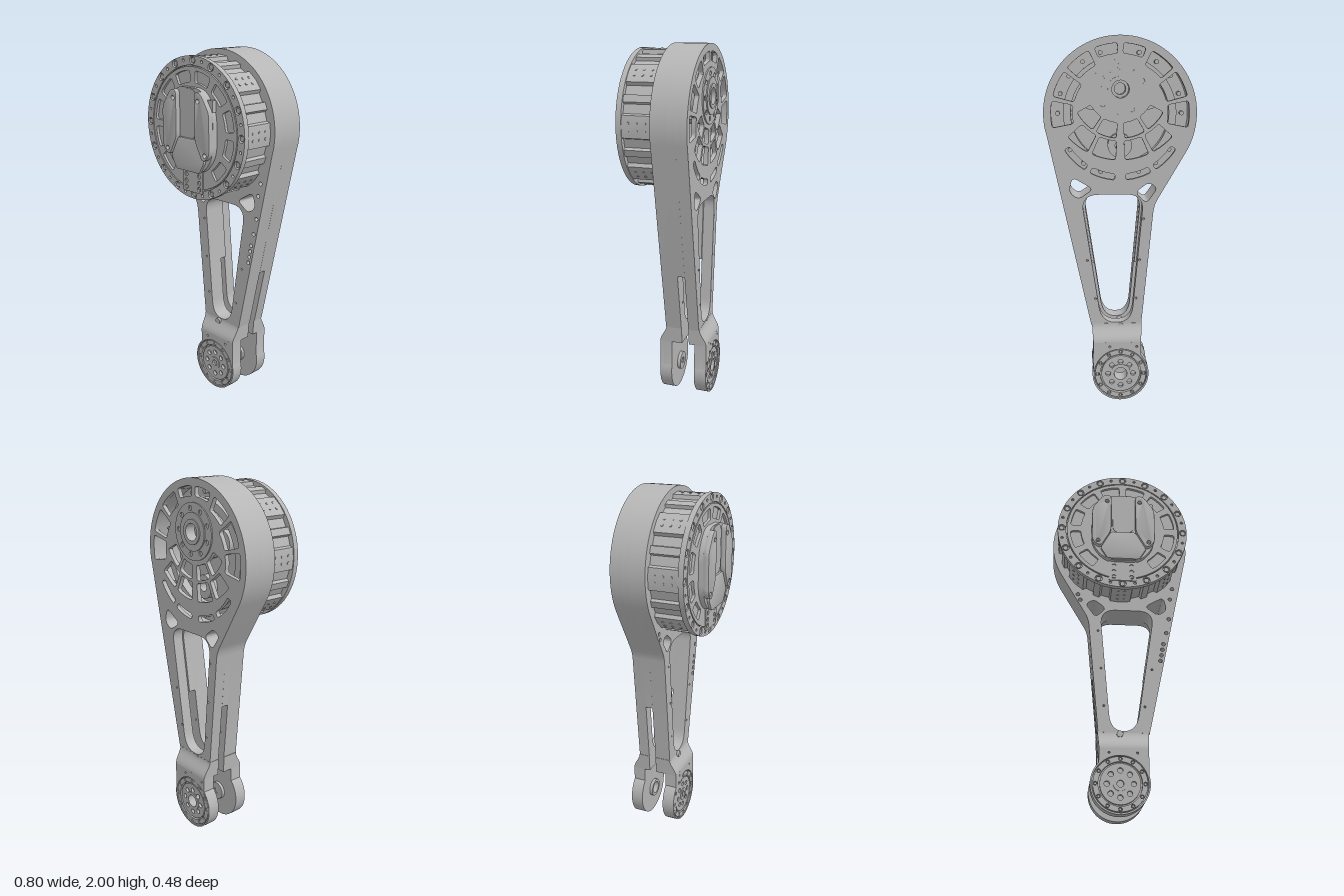
import * as THREE from 'three';
import { mergeGeometries, toCreasedNormals } from 'three/addons/utils/BufferGeometryUtils.js';

const steel = new THREE.MeshStandardMaterial({ color: 0xb6b6b6 });
steel.name = 'machined grey';
const rad = (d) => d * Math.PI / 180;
const HEAD_Y = 1.6, HUB_Y = 1.73, FOOT_Y = 0.158;

// ---- shape helpers ----
function circle(x, y, r) {
  return new THREE.Shape().absarc(x, y, r, 0, Math.PI * 2, false);
}
function ring(x, y, r, inner) {
  const s = circle(x, y, r);
  s.holes.push(circle(x, y, inner));
  return s;
}
// polygon with rounded corners
function rounded(pts, d) {
  const s = new THREE.Shape();
  const v = pts.map((p) => new THREE.Vector2(...p));
  v.forEach((p, i) => {
    const step = (q) => {
      const l = p.distanceTo(q);
      return p.clone().lerp(q, Math.min(d, l * 0.48) / l);
    };
    const a = step(v[(i + v.length - 1) % v.length]), b = step(v[(i + 1) % v.length]);
    if (i) s.lineTo(a.x, a.y); else s.moveTo(a.x, a.y);
    s.quadraticCurveTo(p.x, p.y, b.x, b.y);
  });
  s.closePath();
  return s;
}
// slice of a ring with rounded corners
function sector(y, r0, r1, a0, a1) {
  const at = (r, t) => {
    const a = rad(a0 + (a1 - a0) * t);
    return [r * Math.cos(a), y + r * Math.sin(a)];
  };
  const steps = [0, 0.33, 0.67, 1];
  return rounded([...steps.map((t) => at(r1, t)), ...steps.map((t) => at(r0, 1 - t))], 0.014);
}
// points evenly spread on a circle
function around(n, x, y, r, start = 0) {
  return Array.from({ length: n }, (_, i) => {
    const a = rad(start + 360 * i / n);
    return [x + r * Math.cos(a), y + r * Math.sin(a)];
  });
}
const drill = (points, r) => points.map(([x, y]) => circle(x, y, r));

// ---- mesh helpers ----
function add(parent, name, geometry) {
  const m = new THREE.Mesh(geometry, steel);
  m.name = name;
  parent.add(m);
}
// flat part between two z levels
function plate(parent, name, shape, z0, z1, holes = [], bevel = 0) {
  shape.holes.push(...holes);
  const g = new THREE.ExtrudeGeometry(shape, {
    depth: z1 - z0 - 2 * bevel, curveSegments: 32, bevelEnabled: bevel > 0,
    bevelSize: bevel, bevelThickness: bevel, bevelOffset: -bevel, bevelSegments: 2,
  });
  g.translate(0, 0, z0 + bevel);
  add(parent, name, toCreasedNormals(g, 0.45));
}
function bolts(parent, name, points, r, z0, z1) {
  add(parent, name, mergeGeometries(points.map(([x, y]) =>
    new THREE.CylinderGeometry(r, r, z1 - z0, 12).rotateX(Math.PI / 2).translate(x, y, (z0 + z1) / 2))));
}

// head and outer sides shared by every layer of the arm
function armOutline(bottomY, xl, xr) {
  const s = new THREE.Shape();
  s.moveTo(xr, bottomY);
  s.lineTo(0.391, 1.517);
  s.absarc(0, HEAD_Y, 0.401, rad(-12), rad(210), false);
  s.lineTo(-0.2, 1.147);
  s.quadraticCurveTo(-0.183, 1.117, -0.178, 1.08);
  s.lineTo(xl, bottomY);
  return s;
}
const fullOutline = () => armOutline(0.44, -0.117, 0.162);
const windowHole = (g = 0) =>
  rounded([[-0.05 - g, 0.45], [0.092 + g, 0.45], [0.2 + g, 1.175], [-0.115 - g, 1.175]], 0.095);
const cornerHoles = () => [
  rounded([[-0.2, 1.21], [-0.15, 1.24], [-0.08, 1.185], [-0.14, 1.125]], 0.03),
  rounded([[0.145, 1.205], [0.255, 1.27], [0.275, 1.19], [0.225, 1.15]], 0.03)];

function buildArm(root) {
  const arm = new THREE.Group();
  arm.name = 'arm';
  root.add(arm);
  const screwHoles = [[0.31, 1.33], [0.295, 1.26], [0.285, 1.13], [0.267, 1.04], [0.25, 0.97],
    [0.243, 0.935], [0.237, 0.9], [0.23, 0.865], [-0.245, 1.27], [-0.23, 1.235]];
  const pins = [[0.18, 0.81], [0.137, 0.59], [-0.105, 0.81], [-0.087, 0.59], [-0.125, 1.04]];
  plate(arm, 'frontArmPlate', fullOutline(), -0.097, -0.006,
    [windowHole(), ...cornerHoles(), ...drill(screwHoles, 0.011), ...drill(pins, 0.006)]);

  // middle layer, ending partway down the legs
  const spacer = armOutline(0.78, -0.15, 0.235);
  spacer.lineTo(-0.08, 0.78);
  spacer.lineTo(-0.107, 1.08);
  spacer.quadraticCurveTo(-0.115, 1.175, -0.02, 1.175);
  spacer.lineTo(0.105, 1.175);
  spacer.quadraticCurveTo(0.2, 1.175, 0.186, 1.081);
  spacer.lineTo(0.141, 0.78);
  spacer.closePath();
  plate(arm, 'middleSpacer', spacer, -0.138, -0.097, [circle(0, HEAD_Y, 0.365), ...cornerHoles()]);
  plate(arm, 'rearWall', fullOutline(), -0.175, -0.138, [circle(0, HEAD_Y, 0.365), windowHole(0.012), ...cornerHoles()]);

  // openwork rear cover
  const cuts = [windowHole(0.012), ...cornerHoles(), circle(0, HUB_Y, 0.09), ...drill(pins, 0.006)];
  for (const [a, inner, half] of [[0, 0.25, 11], [26, 0.25, 11], [52, 0.28, 11], [78, 0.31, 9.5]])
    for (const c of [a, 180 - a]) cuts.push(sector(HEAD_Y, inner, 0.362, c - half, c + half));
  const lower = [
    [HUB_Y, 0.175, 0.255, 5, 30], [HUB_Y, 0.175, 0.255, 35, 62],
    [HUB_Y, 0.27, 0.37, 4, 24], [HUB_Y, 0.27, 0.37, 28, 48],
    [HEAD_Y, 0.315, 0.348, 5, 28], [HEAD_Y, 0.315, 0.348, 33, 58]];
  for (const [y, r0, r1, a0, a1] of lower)
    cuts.push(sector(y, r0, r1, -90 + a0, -90 + a1), sector(y, r0, r1, -90 - a1, -90 - a0));
  plate(arm, 'rearCover', fullOutline(), -0.2, -0.175, cuts);

  // rear hub
  plate(arm, 'rearHub', circle(0, HUB_Y, 0.15), -0.207, -0.19,
    [circle(0, HUB_Y, 0.055), ...drill(around(9, 0, HUB_Y, 0.12), 0.013)]);
  plate(arm, 'hubCollar', ring(0, HUB_Y, 0.1, 0.055), -0.213, -0.207);
  plate(arm, 'hubCore', ring(0, HUB_Y, 0.066, 0.045), -0.219, -0.15);

  // gearing behind the openwork
  plate(arm, 'innerRing', ring(0, HEAD_Y, 0.3, 0.26), -0.145, -0.097);
  plate(arm, 'innerGear', ring(0, HUB_Y, 0.15, 0.03), -0.16, -0.097);
  for (const [x, y] of around(3, 0, HEAD_Y, 0.17, -90)) plate(arm, 'innerRoller', ring(x, y, 0.065, 0.025), -0.14, -0.097);
  bolts(arm, 'innerBolts', around(20, 0, HEAD_Y, 0.33), 0.012, -0.13, -0.097);
  bolts(arm, 'crossPin', [[0, 0.43]], 0.018, -0.203, 0.008);
}

// one fork cheek, its outer face towards +z
function buildFoot(root, name, xl, xr, depth, bore) {
  const foot = new THREE.Group();
  foot.name = name;
  root.add(foot);
  // flared neck: a box whose outer face follows an S-curve down to the cheek
  const neck = new THREE.BoxGeometry(1, 1, 1, 1, 10, 1);
  const p = neck.attributes.position;
  for (let i = 0; i < p.count; i++) {
    const t = 0.5 - p.getY(i);
    const widen = 0.007 * (1 - t);
    const outer = -0.007 + 0.04 * t * t * (3 - 2 * t);
    p.setXYZ(i, p.getX(i) > 0 ? xr + widen : xl - widen, 0.445 - 0.1 * t, p.getZ(i) > 0 ? outer : -depth);
  }
  add(foot, 'flaredNeck', toCreasedNormals(neck, 0.45));

  const R = 0.157;
  const outline = () => {
    const s = new THREE.Shape();
    s.moveTo(xr, 0.346);
    s.lineTo(xl, 0.346);
    s.absarc(0, FOOT_Y, R, Math.acos(xl / R), Math.PI * 2 + Math.acos(xr / R), false);
    s.closePath();
    return s;
  };
  const ringSpots = around(12, 0, FOOT_Y, 0.13);
  plate(foot, 'cheekRim', outline(), 0.012, 0.033,
    [circle(0, FOOT_Y, 0.148), ...drill([[-0.06, 0.32], [0.09, 0.32]], 0.006)]);
  plate(foot, 'cheek', outline(), -0.037, 0.012, [circle(0, FOOT_Y, bore)]);
  plate(foot, 'bearingRing', ring(0, FOOT_Y, 0.143, 0.115), 0.012, 0.031, drill(ringSpots, 0.01));
  plate(foot, 'bearingDisc', circle(0, FOOT_Y, 0.107), 0.012, 0.028,
    [circle(0, FOOT_Y, bore), ...drill(around(8, 0, FOOT_Y, 0.07), 0.014)]);
  plate(foot, 'bearingLip', ring(0, FOOT_Y, bore + 0.02, bore), 0.028, 0.032);
  plate(foot, 'innerBoss', ring(0, FOOT_Y, 0.052, bore), -0.055, -0.037);
  bolts(foot, 'ringBolts', ringSpots, 0.007, 0.012, 0.028);
  return foot;
}

function buildMotor(root) {
  const motor = new THREE.Group();
  motor.name = 'motor';
  root.add(motor);
  // ribbed housing, eight pads with narrow ribs between
  const profile = [[-9, 0.37], [0, 0.372], [9, 0.37], [10.5, 0.35], [18.5, 0.348],
    [19.5, 0.366], [25.5, 0.366], [26.5, 0.348], [34.5, 0.35]];
  const pts = [];
  for (let k = 0; k < 8; k++)
    for (const [a, r] of profile) {
      const t = rad(a + 45 * k);
      pts.push(new THREE.Vector2(r * Math.cos(t), HEAD_Y + r * Math.sin(t)));
    }
  plate(motor, 'ribbedHousing', new THREE.Shape(pts), -0.01, 0.156);
  const studs = [];
  for (let k = 0; k < 8; k++)
    for (const x of [-0.018, 0.018])
      for (const z of [0.03, 0.075, 0.12])
        studs.push(new THREE.CylinderGeometry(0.007, 0.007, 0.01, 10)
          .translate(x, 0.368, z).rotateZ(rad(45 * k)).translate(0, HEAD_Y, 0));
  add(motor, 'padStuds', mergeGeometries(studs));

  // front flange with counterbored bolts, and slotted face
  const boltSpots = around(16, 0, HEAD_Y, 0.353), pinSpots = around(16, 0, HEAD_Y, 0.355, 11.25);
  plate(motor, 'flange', circle(0, HEAD_Y, 0.376), 0.156, 0.17);
  plate(motor, 'flangeRing', ring(0, HEAD_Y, 0.376, 0.328), 0.17, 0.185,
    [...drill(boltSpots, 0.02), ...drill(pinSpots, 0.008)]);
  bolts(motor, 'flangeBolts', boltSpots, 0.014, 0.17, 0.181);
  const slots = [];
  for (let k = 0; k < 12; k++)
    if (k !== 8 && k !== 9) slots.push(sector(HEAD_Y, 0.243, 0.303, 15 + 30 * k - 11, 15 + 30 * k + 11));
  plate(motor, 'slottedFace', circle(0, HEAD_Y, 0.322), 0.17, 0.185, slots);

  // connector block under the cap
  const six = [];
  for (const x of [-0.05, 0.05]) for (const y of [1.355, 1.318, 1.285]) six.push([x, y]);
  plate(motor, 'connectorBlock', rounded([[-0.078, 1.262], [0.078, 1.262], [0.078, 1.39], [-0.078, 1.39]], 0.01),
    0.18, 0.192, drill(six, 0.012));

  // central cap: base, two raised lobes and a lower tongue
  plate(motor, 'capBase', rounded([[-0.1, 1.38], [0.1, 1.38], [0.18, 1.48], [0.18, 1.71], [0.1, 1.82], [-0.1, 1.82], [-0.18, 1.71], [-0.18, 1.48]], 0.06), 0.184, 0.213);
  for (const s of [-1, 1]) {
    const lobe = [[0.07, 1.805], [0.07, 1.56], [0.13, 1.45], [0.18, 1.49], [0.18, 1.71], [0.115, 1.805]].map(([x, y]) => [s * x, y]);
    plate(motor, s > 0 ? 'leftCapLobe' : 'rightCapLobe', rounded(lobe, 0.03), 0.21, 0.241,
      drill([[s * 0.145, 1.49], [s * 0.095, 1.76]], 0.011), 0.004);
  }
  plate(motor, 'capTongue', rounded([[-0.07, 1.56], [-0.13, 1.45], [-0.09, 1.383], [0.09, 1.383], [0.13, 1.45], [0.07, 1.56]], 0.012), 0.21, 0.228, [], 0.005);
  plate(motor, 'capChannel', rounded([[-0.06, 1.56], [0.06, 1.56], [0.06, 1.815], [-0.06, 1.815]], 0.05), 0.21, 0.217);
  add(motor, 'capSocket', new THREE.BoxGeometry(0.035, 0.06, 0.025).translate(0.16, 1.74, 0.2));
}

export function createModel() {
  const root = new THREE.Group();
  root.name = 'legLink';
  buildArm(root);
  const front = buildFoot(root, 'frontFoot', -0.113, 0.151, 0.097, 0.018);
  bolts(front, 'axlePlug', [[0, FOOT_Y]], 0.018, -0.05, 0.022);
  const rear = buildFoot(root, 'rearFoot', -0.151, 0.113, 0.07, 0.036);
  rear.rotation.y = Math.PI;
  rear.position.z = -0.208;
  buildMotor(root);
  return root;
}
